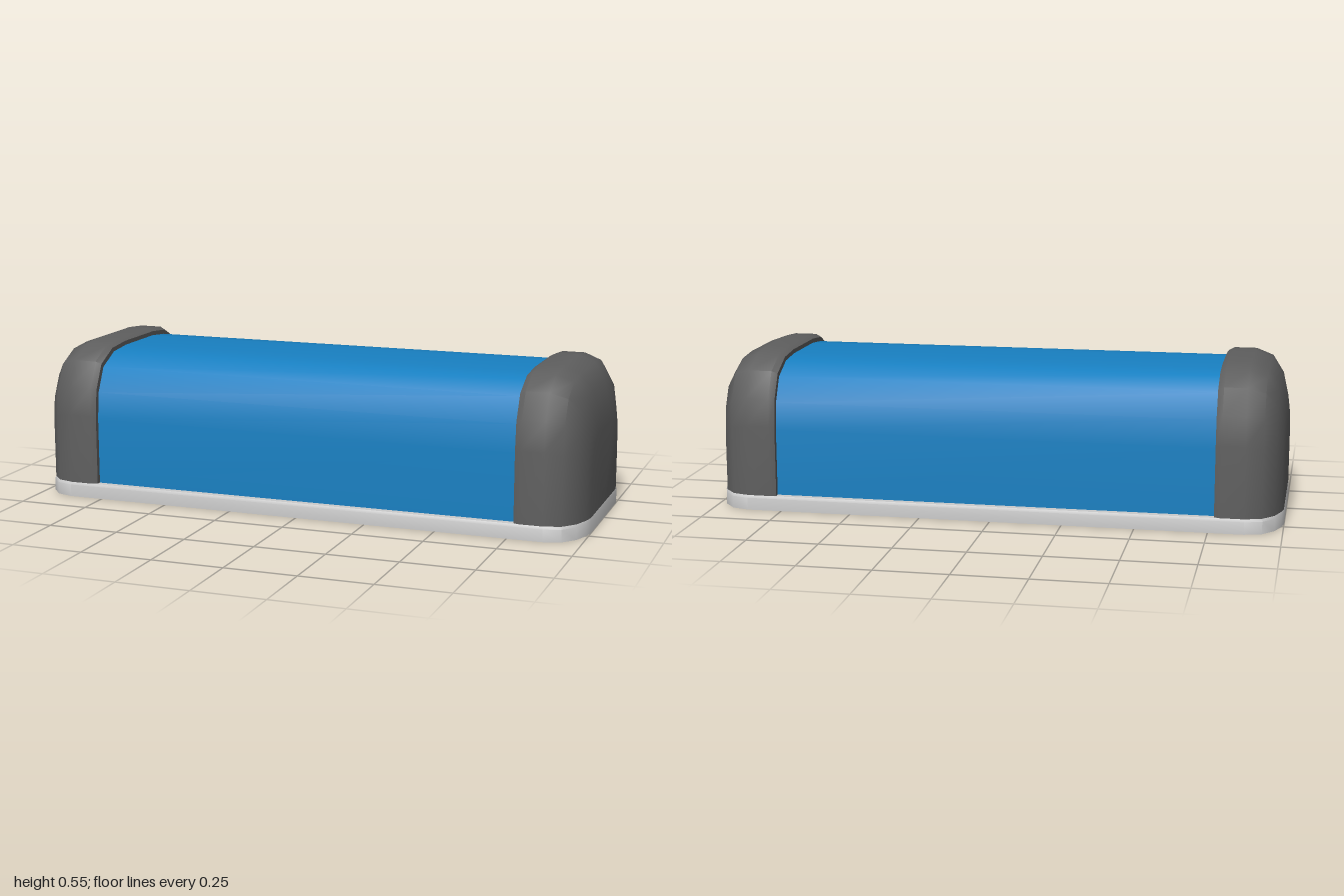
import * as THREE from 'three';
import { toCreasedNormals } from 'three/addons/utils/BufferGeometryUtils.js';

const material = (color) => new THREE.MeshStandardMaterial({ color, side: THREE.DoubleSide });
const BASE = 0.052, WIDTH = 0.37, HEIGHT = 0.545;

// Half of the arched cross-section as [z, y]
const ARCH = [[0.37, BASE], [0.37, 0.3], [0.36, 0.4], [0.315, 0.49], [0.225, 0.535], [0.12, 0.545]];
// Rounded corner of the floor plan as [x, z]
const CORNER = [[0.998, 0.21], [0.99, 0.25], [0.97, 0.305], [0.93, 0.352], [0.87, 0.37]];

// Skin a list of equally long rings of [x, y, z] points
function loft(rings, crease) {
  const n = rings[0].length, index = [];
  for (let i = 0; i < rings.length - 1; i++) {
    for (let j = 0; j < n - 1; j++) {
      const a = i * n + j, b = a + n;
      index.push(a, b, b + 1, a, b + 1, a + 1);
    }
  }
  const geometry = new THREE.BufferGeometry();
  geometry.setAttribute('position', new THREE.Float32BufferAttribute(rings.flat(2), 3));
  geometry.setIndex(index);
  return toCreasedNormals(geometry, crease);
}

// Arch at station x, scaled to half width w and top height h
function archRing(x, w, h) {
  const half = ARCH.map(([z, y]) => [z * w / WIDTH, BASE + (y - BASE) * (h - BASE) / (HEIGHT - BASE)]);
  const mirrored = half.map(([z, y]) => [-z, y]).reverse();
  return [...half, ...mirrored].map(([z, y]) => [x, y, z]);
}

// Closed floor outline at height y, grown outward by d
function planRing(y, d) {
  const ring = [];
  for (const [sx, sz] of [[1, 1], [-1, 1], [-1, -1], [1, -1]]) {
    const corner = CORNER.map(([x, z]) => [sx * (x + d * 0.4), y, sz * (z + d)]);
    ring.push(...(sx * sz > 0 ? corner : corner.reverse()));
  }
  ring.push(ring[0]);
  return ring;
}

export function createModel() {
  const group = new THREE.Group();
  const add = (name, geometry, mat) => {
    const mesh = new THREE.Mesh(geometry, mat);
    mesh.name = name;
    group.add(mesh);
    return mesh;
  };
  const grey = material(0xcccccc), dark = material(0x5f5f5f), blue = material(0x1880c2);

  // Arched middle cover, open underneath
  add('cover', loft([archRing(-0.77, 0.345, 0.52), archRing(0.77, 0.345, 0.52)], 0.8), blue);

  // Rounded end caps with a small lip standing proud of the cover
  const cap = loft([
    archRing(0.77, 0.345, 0.52),
    archRing(0.77, 0.362, 0.535),
    archRing(0.79, 0.37, 0.545),
    archRing(0.87, 0.37, 0.545),
    archRing(0.93, 0.352, 0.523),
    archRing(0.97, 0.305, 0.465),
    archRing(0.99, 0.25, 0.385),
    archRing(0.998, 0.21, 0.33),
    archRing(0.998, 0, BASE),
  ], 0.75);
  add('leftEndCap', cap, dark);
  add('rightEndCap', cap, dark).rotation.y = Math.PI;

  // Thin rim around the foot
  add('baseRim', loft([planRing(0, 0.005), planRing(0.043, 0.005), planRing(BASE, 0)], 0.6), grey);

  // Ledges joining the rim to the recessed cover
  for (const side of [1, -1]) {
    const ledge = new THREE.PlaneGeometry(1.74, 0.025).rotateX(-Math.PI / 2);
    add(side > 0 ? 'frontLedge' : 'backLedge', ledge, grey).position.set(0, BASE, side * 0.3575);
  }
  return group;
}
